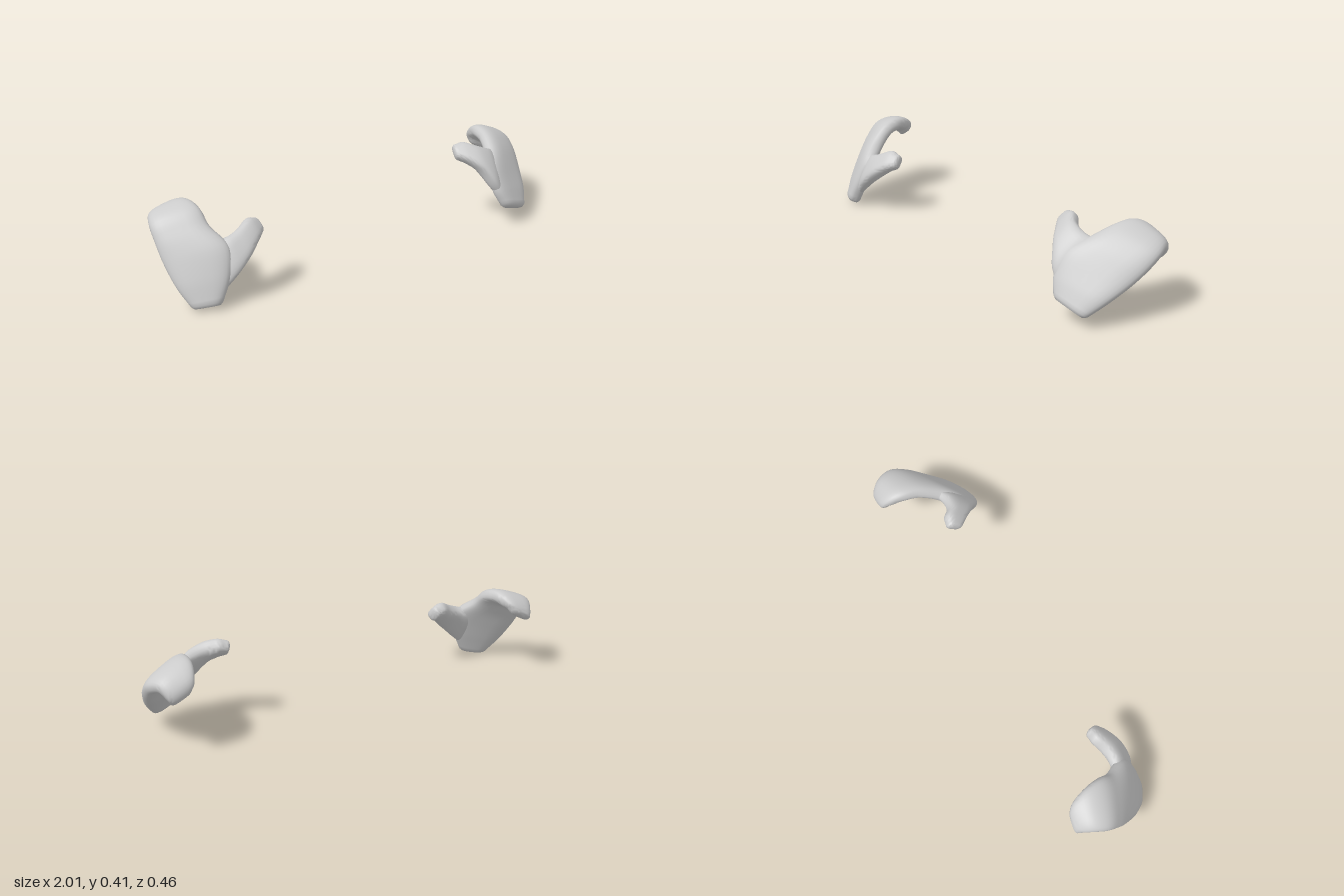
import * as THREE from 'three';
import { toCreasedNormals } from 'three/addons/utils/BufferGeometryUtils.js';

const V = (p, side) => new THREE.Vector3(p[0] * side, p[1], p[2]);
const power = (v, e) => Math.sign(v) * Math.pow(Math.abs(v), e);

// Padded strip lofted between two edge curves; each station is [edge A, edge B, thickness].
// The start is nearly flat with a small bevel, the end is rounded off over roundTip.
function loftStrip(stations, side, steps, roundTip) {
  const sides = 28;
  const edgeA = new THREE.CatmullRomCurve3(stations.map((s) => V(s[0], side)));
  const edgeB = new THREE.CatmullRomCurve3(stations.map((s) => V(s[1], side)));
  const frameAt = (t) => {
    const a = edgeA.getPoint(t), b = edgeB.getPoint(t);
    const tangent = edgeA.getTangent(t).add(edgeB.getTangent(t)).normalize();
    const half = b.clone().sub(a).multiplyScalar(0.5);
    const normal = tangent.clone().cross(half).normalize().multiplyScalar(side);
    const k = t * (stations.length - 1), i = Math.min(Math.floor(k), stations.length - 2);
    const thick = THREE.MathUtils.lerp(stations[i][2], stations[i + 1][2], k - i);
    return { center: a.add(b).multiplyScalar(0.5), half, normal, tangent, thick };
  };

  const positions = [], index = [];
  let rings = 0;
  const addRing = (f, scale, shift) => {
    for (let j = 0; j < sides; j++) {
      const th = (j / sides) * Math.PI * 2 * side;
      const c = power(Math.cos(th), 0.7), s = power(Math.sin(th), 0.7);
      // The front is a little fuller than the back
      const depth = s * f.thick * (s > 0 ? 0.54 : 0.44);
      const p = f.center.clone().addScaledVector(f.tangent, shift)
        .addScaledVector(f.half, c * (1 - (1 - scale) * 0.6))
        .addScaledVector(f.normal, depth * scale);
      positions.push(p.x, p.y, p.z);
    }
    rings++;
  };

  const first = frameAt(0), last = frameAt(1);
  addRing(first, 0.7, -0.012);
  for (let i = 0; i <= steps; i++) addRing(frameAt(i / steps), 1, 0);
  for (const a of [0.35, 0.7, 1.0, 1.25]) addRing(last, Math.cos(a), Math.sin(a) * roundTip);

  for (let r = 0; r < rings - 1; r++) {
    for (let j = 0; j < sides; j++) {
      const a = r * sides + j, b = r * sides + (j + 1) % sides;
      index.push(a, b, b + sides, a, b + sides, a + sides);
    }
  }
  // End caps
  const start = first.center.clone().addScaledVector(first.tangent, -0.014);
  const end = last.center.clone().addScaledVector(last.tangent, roundTip);
  positions.push(start.x, start.y, start.z, end.x, end.y, end.z);
  const s0 = rings * sides, e0 = (rings - 1) * sides;
  for (let j = 0; j < sides; j++) {
    const k = (j + 1) % sides;
    index.push(s0, k, j, s0 + 1, e0 + j, e0 + k);
  }
  const geo = new THREE.BufferGeometry();
  geo.setAttribute('position', new THREE.Float32BufferAttribute(positions, 3));
  geo.setIndex(index);
  return toCreasedNormals(geo, 0.8);
}

// Wrist to fingertips: outer edge, inner edge, thickness
const leftPalm = [
  [[0.88, 0.064, 0.17], [0.72, 0.12, 0.21], 0.065],
  [[0.925, 0.12, 0.105], [0.69, 0.19, 0.185], 0.078],
  [[0.967, 0.19, 0.012], [0.69, 0.285, 0.13], 0.085],
  [[0.992, 0.25, -0.058], [0.75, 0.345, 0.04], 0.085],
  [[0.998, 0.295, -0.115], [0.785, 0.38, -0.05], 0.08],
  [[0.975, 0.308, -0.168], [0.8, 0.382, -0.128], 0.075],
  [[0.95, 0.274, -0.196], [0.82, 0.345, -0.188], 0.068],
  [[0.935, 0.254, -0.193], [0.84, 0.305, -0.2], 0.055],
];
// Thumb root to tip: lower edge, upper edge, thickness
const leftThumb = [
  [[0.74, 0.13, 0.195], [0.8, 0.33, 0.02], 0.05],
  [[0.68, 0.215, 0.185], [0.725, 0.355, 0.05], 0.078],
  [[0.642, 0.28, 0.145], [0.66, 0.378, 0.04], 0.082],
  [[0.603, 0.318, 0.098], [0.618, 0.393, 0.005], 0.074],
  [[0.565, 0.338, 0.055], [0.583, 0.385, -0.005], 0.06],
];
// Right hand, written with x mirrored
const rightPalm = [
  [[0.93, 0.016, 0.136], [0.81, 0.035, 0.2], 0.068],
  [[0.965, 0.09, 0.08], [0.76, 0.14, 0.185], 0.08],
  [[0.988, 0.19, 0.008], [0.74, 0.25, 0.145], 0.085],
  [[0.995, 0.262, -0.04], [0.785, 0.325, 0.055], 0.083],
  [[0.995, 0.315, -0.085], [0.79, 0.375, -0.005], 0.08],
  [[0.975, 0.328, -0.133], [0.8, 0.388, -0.075], 0.075],
  [[0.95, 0.305, -0.17], [0.82, 0.366, -0.14], 0.065],
  [[0.94, 0.285, -0.182], [0.84, 0.34, -0.165], 0.055],
];
const rightThumb = [
  [[0.8, 0.07, 0.185], [0.81, 0.265, 0.08], 0.045],
  [[0.728, 0.138, 0.195], [0.735, 0.28, 0.11], 0.075],
  [[0.658, 0.2, 0.182], [0.678, 0.298, 0.1], 0.08],
  [[0.606, 0.24, 0.15], [0.622, 0.324, 0.078], 0.074],
  [[0.57, 0.26, 0.12], [0.587, 0.314, 0.074], 0.06],
];

export function createModel() {
  const model = new THREE.Group();
  model.name = 'mittenHands';
  const material = new THREE.MeshStandardMaterial({ color: 0xcccccc });
  const addHand = (name, palm, thumb, side) => {
    const hand = new THREE.Group();
    hand.name = name;
    const parts = [
      ['palmAndFingers', loftStrip(palm, side, 36, 0.016)],
      ['thumb', loftStrip(thumb, side, 20, 0.016)],
    ];
    for (const [part, geo] of parts) {
      const mesh = new THREE.Mesh(geo, material);
      mesh.name = part;
      hand.add(mesh);
    }
    model.add(hand);
  };
  addHand('leftHand', leftPalm, leftThumb, 1);
  addHand('rightHand', rightPalm, rightThumb, -1);
  return model;
}
